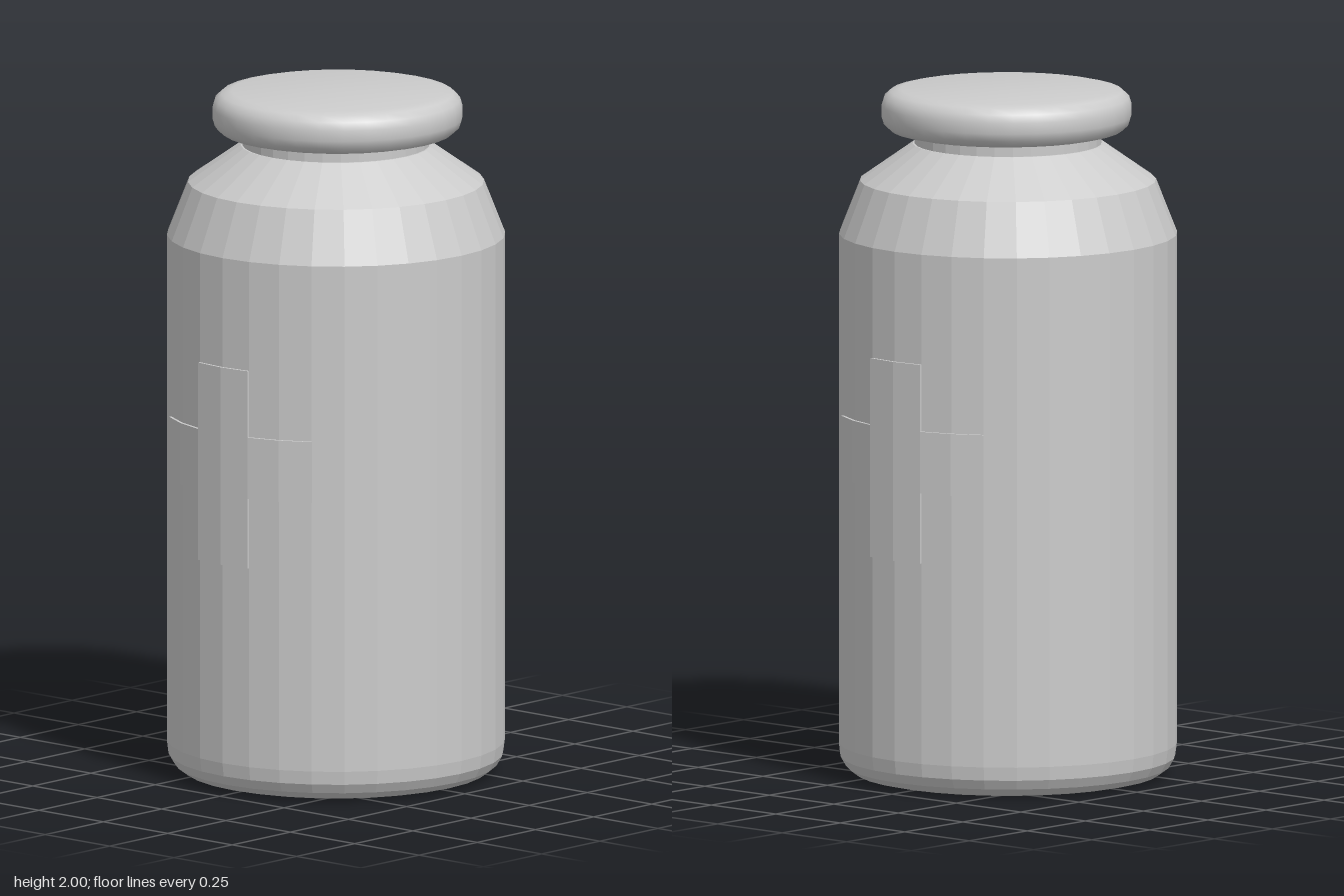
import * as THREE from 'three';
import { toCreasedNormals } from 'three/addons/utils/BufferGeometryUtils.js';

const SIDES = 32;
const STEP = (Math.PI * 2) / SIDES;

function lathe(points) {
  return new THREE.LatheGeometry(points.map(([r, y]) => new THREE.Vector2(r, y)), SIDES);
}

// Curved slab hugging the wall, from facet a to facet b, between two heights
function wallSlab(a, b, y0, y1, inner = 0.475, outer = 0.496) {
  const pts = [];
  const add = (r, i) => pts.push(new THREE.Vector2(r * Math.sin(i * STEP), -r * Math.cos(i * STEP)));
  for (let i = a; i <= b; i++) add(outer, i);
  for (let i = b; i >= a; i--) add(inner, i);
  const geo = new THREE.ExtrudeGeometry(new THREE.Shape(pts), { depth: y1 - y0, bevelEnabled: false });
  return geo.rotateX(-Math.PI / 2).translate(0, y0, 0);
}

export function createModel() {
  const model = new THREE.Group();
  model.name = 'bottle';
  const flat = new THREE.MeshStandardMaterial({ color: 0xcccccc, flatShading: true });
  const smooth = new THREE.MeshStandardMaterial({ color: 0xcccccc });

  const add = (parent, name, geometry, material) => {
    const mesh = new THREE.Mesh(geometry, material);
    mesh.name = name;
    parent.add(mesh);
    return mesh;
  };

  // Faceted body with rounded foot and two-step shoulder
  add(model, 'body', lathe([
    [0, 0], [0.405, 0], [0.44, 0.008], [0.467, 0.028], [0.483, 0.056], [0.488, 0.095],
    [0.488, 1.58], [0.427, 1.735], [0.275, 1.842], [0, 1.842],
  ]), flat);

  // Short neck
  add(model, 'neck', lathe([[0.27, 1.835], [0.27, 1.89]]), flat);

  // Rounded lid, sitting very slightly off centre
  const lid = add(model, 'lid', toCreasedNormals(lathe([
    [0, 1.875], [0.305, 1.875], [0.335, 1.882], [0.354, 1.899], [0.361, 1.922],
    [0.361, 1.953], [0.354, 1.976], [0.335, 1.993], [0.305, 2], [0, 2],
  ]), 0.6), smooth);
  lid.position.set(0.004, 0, -0.002);

  // Raised cross on the front and the back
  for (const [name, turn] of [['frontCross', 0], ['backCross', Math.PI]]) {
    const cross = new THREE.Group();
    cross.name = name;
    cross.rotation.y = turn;
    add(cross, 'crossUpright', wallSlab(-1, 1, 0.68, 1.26), flat);
    add(cross, 'crossRightArm', wallSlab(-3, -1, 0.885, 1.065), flat);
    add(cross, 'crossLeftArm', wallSlab(1, 3, 0.885, 1.065), flat);
    model.add(cross);
  }
  return model;
}
